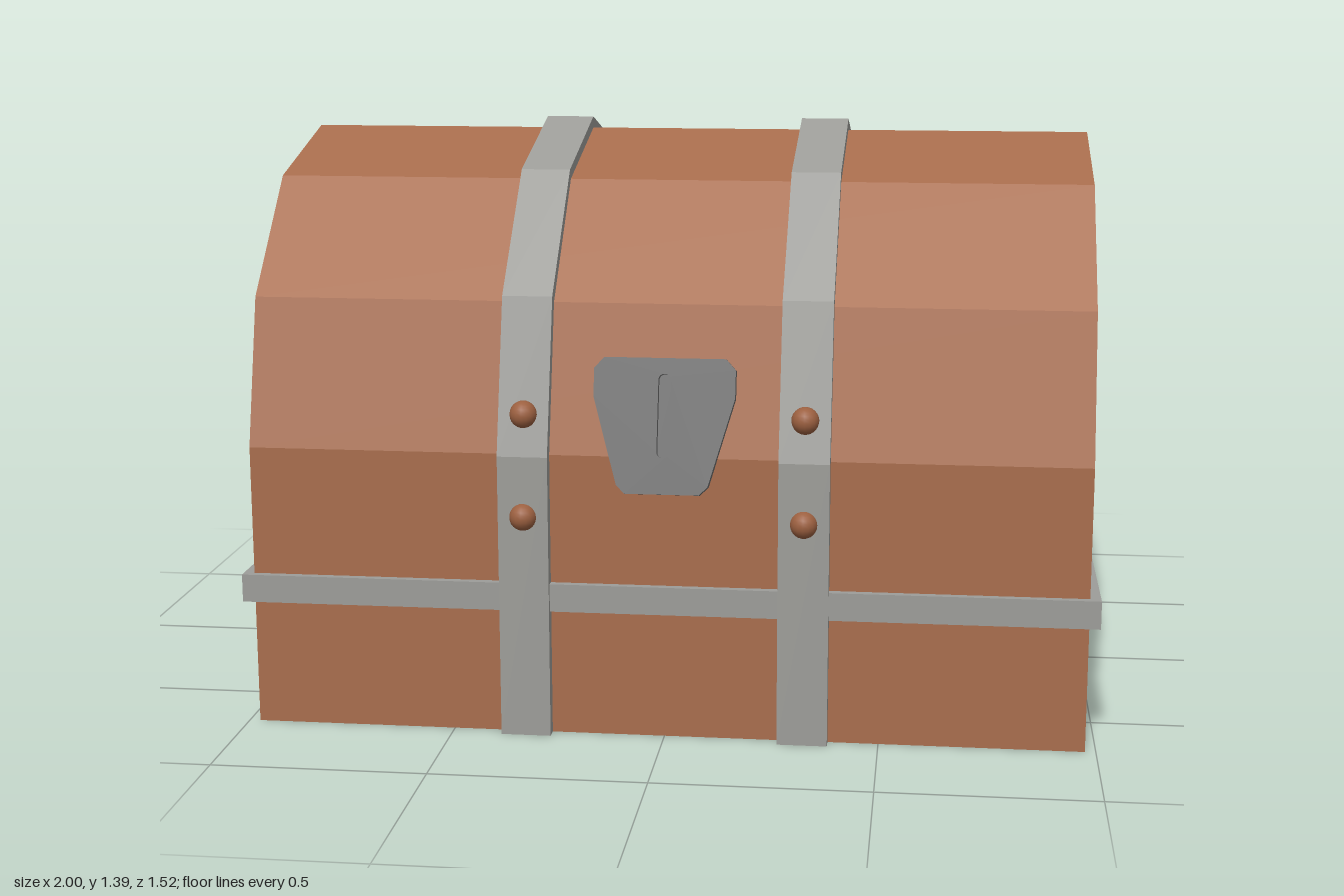
import * as THREE from 'three';

const material = (name, color, extra = {}) => {
  const m = new THREE.MeshStandardMaterial({ color, ...extra });
  m.name = name;
  return m;
};

// Turn half an outline (z, y), running from the rim to the crown, into a full arch
const arch = (half) => [
  ...half.map(([z, y]) => new THREE.Vector2(z, y)),
  ...half.slice(0, -1).reverse().map(([z, y]) => new THREE.Vector2(-z, y)),
];

// Extrude a z-y outline along x, centred on x = 0
function extrudeAlongX(shape, width) {
  const geo = new THREE.ExtrudeGeometry(shape, { depth: width, bevelEnabled: false });
  geo.translate(0, 0, -width / 2);
  geo.rotateY(Math.PI / 2);
  return geo;
}

export function createModel() {
  const chest = new THREE.Group();
  chest.name = 'treasureChest';
  const wood = material('wood', 0xa86d4d);
  const metal = material('strapMetal', 0x9d9d99);
  const lockMetal = material('lockMetal', 0x6e6e6e);
  const copper = material('rivetCopper', 0x9c6040);

  const add = (name, geo, mat, x = 0, y = 0, z = 0, parent = chest) => {
    const mesh = new THREE.Mesh(geo, mat);
    mesh.name = name;
    mesh.position.set(x, y, z);
    parent.add(mesh);
    return mesh;
  };

  // Wooden body
  add('body', new THREE.BoxGeometry(1.95, 0.67, 1.4), wood, 0, 0.335, 0);

  // Faceted lid with a recessed panel in each end
  const lidHalf = [[0.7, 0.67], [0.61, 1.012], [0.355, 1.27], [0, 1.363]];
  const panelHalf = [[0.585, 0.757], [0.53, 0.967], [0.305, 1.19], [0, 1.271]];
  const lidShape = new THREE.Shape(arch(lidHalf));
  lidShape.holes.push(new THREE.Path(arch(panelHalf)));
  add('lid', extrudeAlongX(lidShape, 1.95), wood);
  add('lidEndPanels', extrudeAlongX(new THREE.Shape(arch(panelHalf)), 1.88), wood);

  // Metal band around the body
  add('waistBand', new THREE.BoxGeometry(2, 0.066, 1.436), metal, 0, 0.333, 0);

  // Straps over the lid, down the front and the back
  const outer = arch([[0.73, 0], [0.73, 0.67], [0.633, 1.028], [0.367, 1.293], [0, 1.391]]);
  const inner = arch([[0.695, 0], [0.695, 0.67], [0.605, 1.01], [0.35, 1.265], [0, 1.358]]);
  const strapGeo = extrudeAlongX(new THREE.Shape([...outer, ...inner.reverse()]), 0.117);
  const rivetGeo = new THREE.SphereGeometry(0.032, 16, 12);
  for (const side of [-1, 1]) {
    const label = side > 0 ? 'left' : 'right';
    const x = side * 0.324;
    add(label + 'Strap', strapGeo, metal, x);
    for (const face of [-1, 1]) {
      const end = face > 0 ? 'Front' : 'Back';
      add(label + end + 'LidRivet', rivetGeo, copper, x, 0.765, face * 0.703);
      add(label + end + 'BodyRivet', rivetGeo, copper, x, 0.528, face * 0.726);
    }
    // Slim upright on each end of the body
    add(label + 'EndStrip', new THREE.BoxGeometry(0.02, 0.668, 0.028), metal, side * 0.978, 0.336, 0);
  }

  // Lock plate leaning back along the lid's front facet
  const lock = new THREE.Group();
  lock.name = 'lock';
  lock.position.set(0, 0.74, 0.682);
  lock.rotation.x = -0.259;
  chest.add(lock);
  const right = [[0.085, -0.157], [0.105, -0.138], [0.163, 0.065], [0.163, 0.13], [0.14, 0.155]];
  const plate = new THREE.Shape([
    ...right.map(([x, y]) => new THREE.Vector2(x, y)),
    ...right.slice().reverse().map(([x, y]) => new THREE.Vector2(-x, y)),
  ]);

  // Keyhole slot with rounded ends
  const slot = new THREE.Path();
  slot.absarc(0, 0.105, 0.014, 0, Math.PI, false);
  slot.absarc(0, -0.06, 0.014, Math.PI, Math.PI * 2, false);
  slot.closePath();
  plate.holes.push(slot);
  add('lockPlate', new THREE.ExtrudeGeometry(plate, { depth: 0.03, bevelEnabled: false, curveSegments: 6 }),
    lockMetal, 0, 0, -0.005, lock);
  add('keyholeBack', new THREE.BoxGeometry(0.05, 0.23, 0.008), lockMetal, 0, 0.02, 0.003, lock);

  return chest;
}
